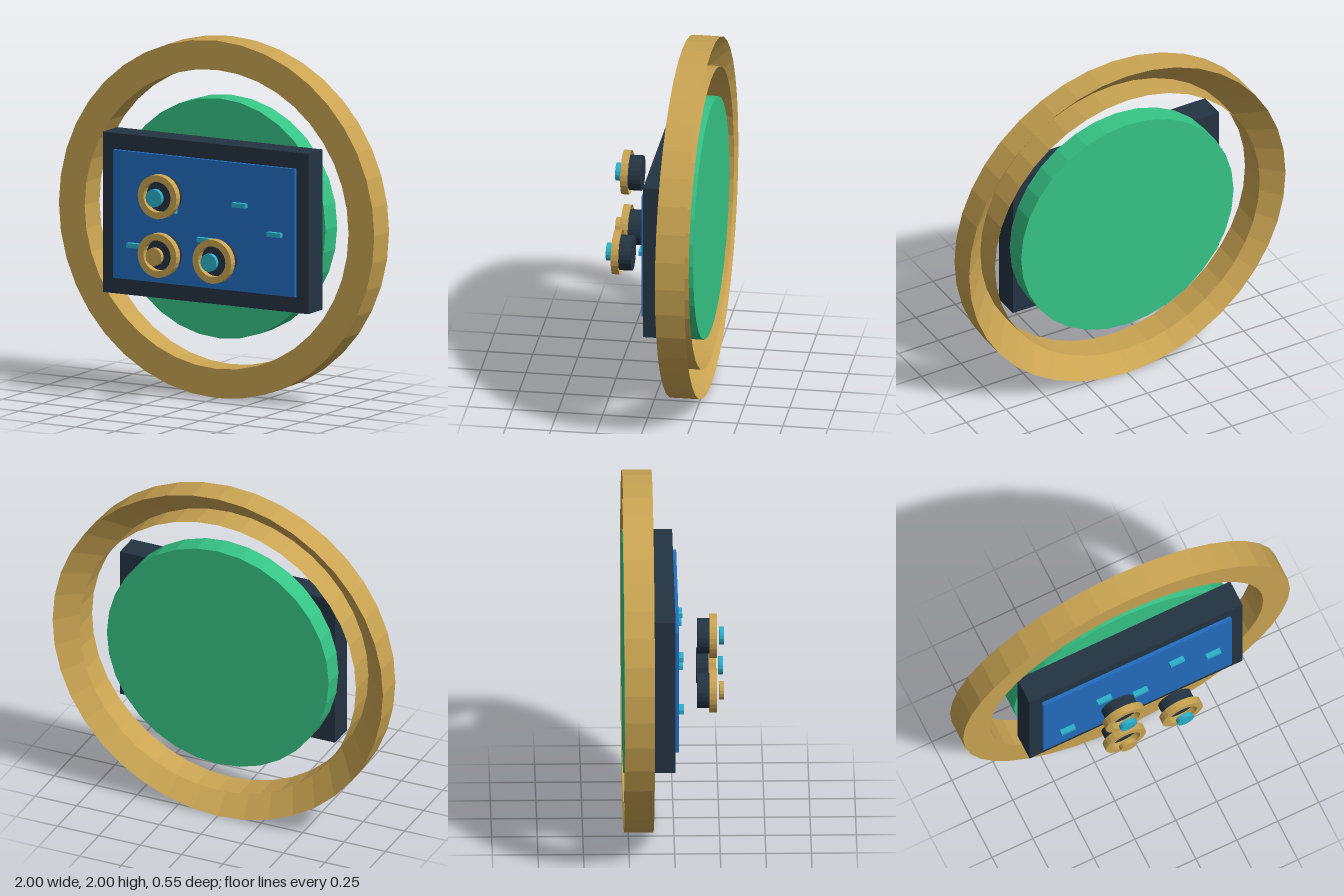
import * as THREE from 'three';

const paint = (name, color, extra = {}) => {
  const m = new THREE.MeshStandardMaterial({ color, flatShading: true, ...extra });
  m.name = name;
  return m;
};

export function createModel() {
  const gold = paint('gold', 0xc9a452, { side: THREE.DoubleSide });
  const green = paint('green', 0x36c486);
  const dark = paint('darkSlate', 0x243442);
  const blue = paint('blue', 0x226dbf);
  const cyan = paint('cyan', 0x2bb0cb);

  const model = new THREE.Group();
  const add = (name, geometry, material, x, y, z, parent = model) => {
    const mesh = new THREE.Mesh(geometry, material);
    mesh.name = name;
    mesh.position.set(x, y, z);
    parent.add(mesh);
    return mesh;
  };

  // Box spanning z0..z1
  const slab = (name, w, h, z0, z1, material, x, y) =>
    add(name, new THREE.BoxGeometry(w, h, z1 - z0), material, x, y, (z0 + z1) / 2);

  // Disc facing +z spanning z0..z1
  const disc = (name, r, z0, z1, sides, material, x, y, parent) =>
    add(name, new THREE.CylinderGeometry(r, r, z1 - z0, sides).rotateX(Math.PI / 2),
      material, x, y, (z0 + z1) / 2, parent);

  // Ring with flat front, straight outer wall and bore, and a back hollowed to a cone
  const ring = (name, inner, outer, z0, z1, sides, x, y, parent) => {
    const profile = [[inner, z1], [outer, z0], [outer, z1], [inner, z1], [inner, z0]]
      .map(([r, z]) => new THREE.Vector2(r, z));
    return add(name, new THREE.LatheGeometry(profile, sides).rotateX(Math.PI / 2),
      gold, x, y, 0, parent);
  };

  // Outer hoop, backing disc and framed panel
  ring('outerRing', 0.835, 0.998, -0.278, -0.115, 40, 0, 1.002);
  disc('backDisc', 0.67, -0.278, -0.15, 32, green, 0, 1.002);
  slab('panelFrame', 1.3, 0.895, -0.15, 0.003, dark, 0, 1.002);
  slab('panelFace', 1.15, 0.715, 0.003, 0.024, blue, 0, 1.002);

  // Small raised markers
  [[-0.433, 0.84], [-0.211, 1.055], [0.011, 0.913], [0.233, 1.128], [0.455, 0.985]]
    .forEach(([x, y], i) => slab(`marker${i + 1}`, 0.086, 0.025, 0.024, 0.052, cyan, x, y));

  // Floating dials: base, bezel and cap
  [[-0.175, 1.167, cyan], [-0.175, 0.84, gold], [0.172, 0.84, cyan]].forEach(([x, y, capColor], i) => {
    const dial = new THREE.Group();
    dial.name = `dial${i + 1}`;
    dial.position.set(x, y, 0);
    model.add(dial);
    disc('dialBase', 0.098, 0.128, 0.198, 24, dark, 0, 0, dial);
    ring('dialBezel', 0.086, 0.123, 0.194, 0.236, 24, 0, 0, dial);
    disc('dialCap', 0.05, 0.249, 0.275, 16, capColor, 0, 0, dial);
  });

  return model;
}
